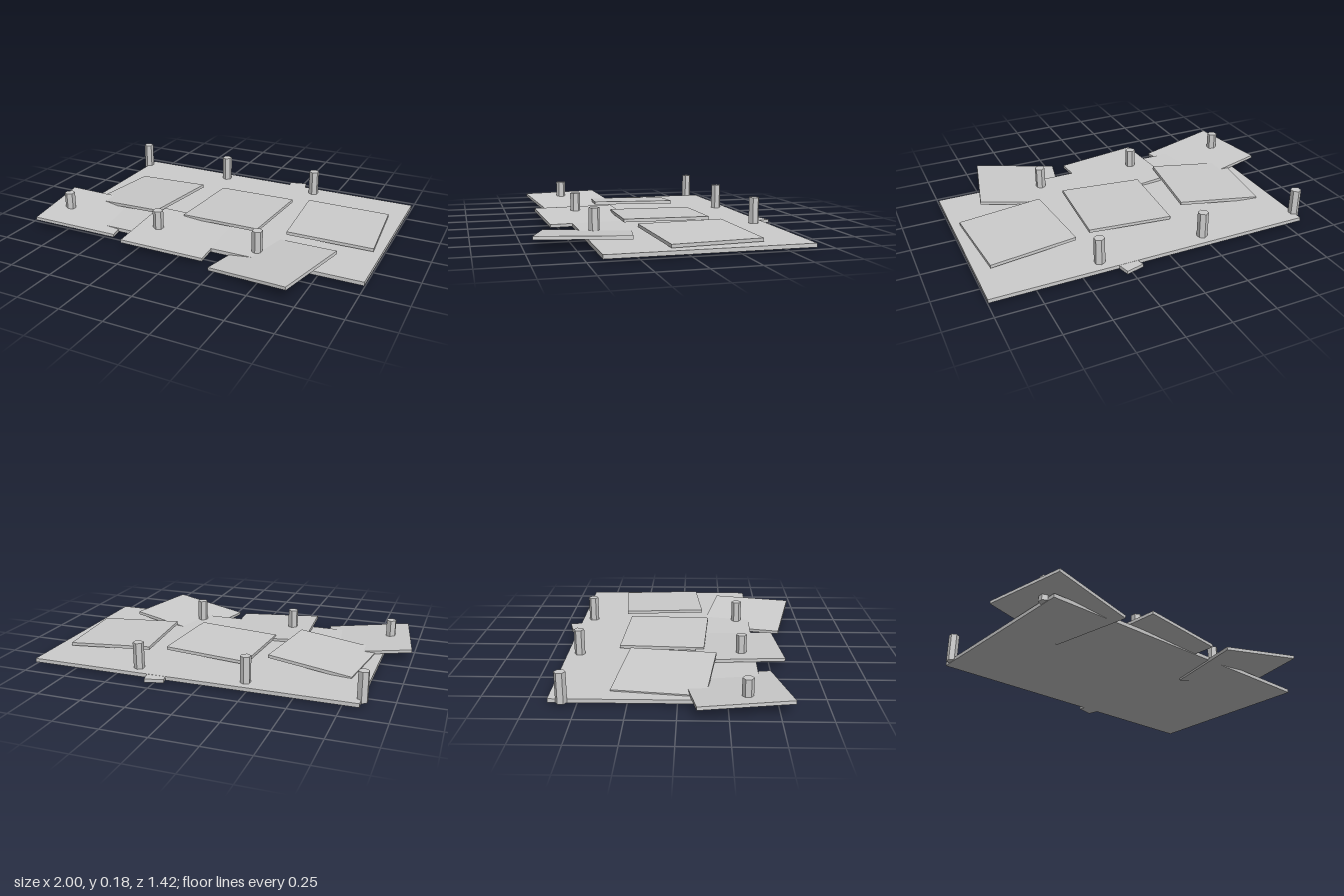
import * as THREE from 'three';

export function createModel() {
  const group = new THREE.Group();
  const grey = new THREE.MeshStandardMaterial({ color: 0xcccccc, flatShading: true });
  grey.name = 'pale grey';

  const add = (name, geometry, x, y, z) => {
    const mesh = new THREE.Mesh(geometry, grey);
    mesh.name = name;
    mesh.position.set(x, y, z);
    group.add(mesh);
    return mesh;
  };

  // Flat base sheet
  add('base', new THREE.BoxGeometry(1.84, 0.021, 1.07), 0.08, 0.0225, -0.11);

  // Small tab poking out behind the base
  add('backTab', new THREE.BoxGeometry(0.105, 0.019, 0.1), 0.249, 0.0225, -0.65)
    .rotation.y = THREE.MathUtils.degToRad(14);

  // Loose square tiles: name, centre, yaw in degrees, rise from the -x edge to the +x edge
  const size = 0.488, thickness = 0.018;
  const tileGeometry = new THREE.BoxGeometry(size, thickness, size);
  const tiles = [
    ['backRightTile', -0.5325, 0.053, -0.07, -7.5, 0.043],
    ['backMiddleTile', 0.078, 0.055, -0.094, -3.4, 0.018],
    ['backLeftTile', 0.692, 0.055, -0.137, 4.7, -0.018],
    ['frontRightTile', -0.72, 0.04, 0.295, 9.5, -0.047],
    ['frontMiddleTile', -0.106, 0.035, 0.325, 4.1, -0.022],
    ['frontLeftTile', 0.505, 0.037, 0.417, -12.5, 0.055],
  ];
  for (const [name, x, y, z, yaw, rise] of tiles) {
    const tile = add(name, tileGeometry, x, y, z);
    tile.rotation.set(0, THREE.MathUtils.degToRad(yaw), Math.asin(rise / size));
  }

  // Two rows of hexagonal pegs, the back row taller
  const pegBottom = 0.015;
  for (const [name, z, top] of [['backPeg', -0.574, 0.18], ['frontPeg', 0.346, 0.157]]) {
    const height = top - pegBottom;
    const pegGeometry = new THREE.CylinderGeometry(0.03, 0.03, height, 6);
    for (const x of [-0.842, -0.23, 0.384]) {
      add(name, pegGeometry, x, pegBottom + height / 2, z);
    }
  }

  return group;
}
